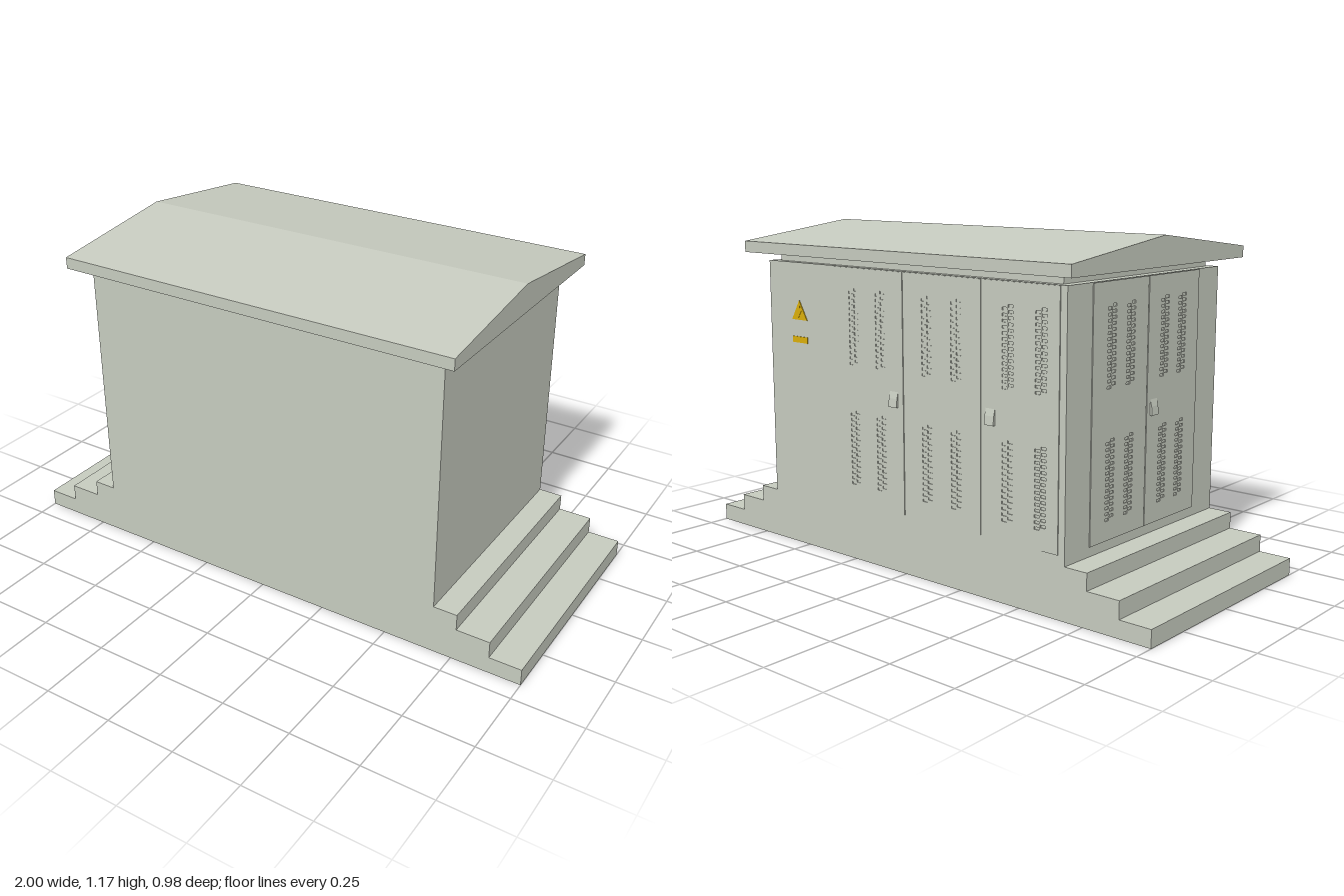
import * as THREE from 'three';

const paint = new THREE.MeshStandardMaterial({ color: 0xc5cabe, flatShading: true });
const yellow = new THREE.MeshStandardMaterial({ color: 0xd9ad0a, flatShading: true });
const PANEL = 0.003; // door leaf thickness

function add(parent, name, geometry, material = paint) {
  const mesh = new THREE.Mesh(geometry, material);
  mesh.name = name;
  parent.add(mesh);
  return mesh;
}

function polygon(points) {
  return new THREE.Shape(points.map(([x, y]) => new THREE.Vector2(x, y)));
}

function extrude(shape, depth) {
  return new THREE.ExtrudeGeometry(shape, { depth, bevelEnabled: false });
}

function box(parent, name, w, y0, y1, d) {
  add(parent, name, new THREE.BoxGeometry(w, y1 - y0, d)).position.y = (y0 + y1) / 2;
}

// Closed rectangle as a path for slots
function slot(x, y, w, h) {
  return new THREE.Path([[0, 0], [0, h], [w, h], [w, 0]].map(([a, b]) => new THREE.Vector2(x + a, y + b)));
}

// Door leaf, facing +z, with staggered vent slots in two stacked banks per column
function doorLeaf(parent, x0, x1, ventColumns) {
  const leaf = polygon([[x0, 0.21], [x1, 0.21], [x1, 1.038], [x0, 1.038]]);
  const rows = 14, pitch = 0.019;
  for (const cx of ventColumns) {
    for (const bottom of [0.275, 0.702]) {
      for (let i = 0; i < rows; i++) {
        const y = bottom + i * pitch;
        leaf.holes.push(slot(cx - 0.022, y, 0.02, 0.009));
        leaf.holes.push(slot(cx + 0.002, y + pitch / 2, 0.02, 0.009));
      }
    }
  }
  add(parent, 'ventedDoor', extrude(leaf, PANEL));
}

// Wedge-shaped pull handle
function handle(parent, x) {
  const profile = polygon([[0, 0.58], [0.01, 0.58], [0.007, 0.61], [0, 0.637]]);
  const geometry = extrude(profile, 0.038);
  geometry.rotateY(-Math.PI / 2); // profile depth now runs along z
  add(parent, 'doorHandle', geometry).position.set(x + 0.019, 0, PANEL - 0.001);
}

export function createModel() {
  const model = new THREE.Group();
  model.name = 'substationKiosk';

  // Base slab, steps at both ends and wall block in one stepped silhouette
  const half = [[1, 0], [1, 0.06], [0.885, 0.06], [0.885, 0.12], [0.765, 0.12], [0.765, 0.178], [0.68, 0.178], [0.68, 1.04]];
  const mirrored = half.map(([x, y]) => [-x, y]).reverse();
  const body = extrude(polygon([...half, ...mirrored]), 0.852);
  body.translate(0, 0, -0.426);
  add(model, 'bodyWithSteps', body);

  // Recessed neck below the roof
  box(model, 'roofNeck', 1.29, 1.04, 1.07, 0.8);

  // Shallow gable roof, ridge along x
  const roof = extrude(polygon([[-0.488, 1.07], [0.488, 1.07], [0.488, 1.11], [0, 1.17], [-0.488, 1.11]]), 1.48);
  roof.translate(0, 0, -0.74);
  roof.rotateY(Math.PI / 2);
  add(model, 'gableRoof', roof);

  // Back wall fittings, built facing +z then turned round (local x is mirrored)
  const back = new THREE.Group();
  back.name = 'backFittings';
  back.rotation.y = Math.PI;
  back.position.z = -0.426;
  doorLeaf(back, -0.348, -0.002, [-0.237, -0.108]);
  doorLeaf(back, 0.002, 0.342, [0.108, 0.237]);
  doorLeaf(back, 0.35, 0.655, [0.453, 0.585]);
  handle(back, -0.045);
  handle(back, 0.383);

  // Warning triangle with a raised bolt, and a plain plate below it
  const triangle = polygon([[-0.04, 0.835], [0.04, 0.835], [0, 0.905]]);
  const bolt = polygon([[0.004, 0.885], [-0.012, 0.863], [-0.001, 0.863], [-0.004, 0.843], [0.011, 0.867], [0.001, 0.867]]);
  add(back, 'warningTriangle', extrude(triangle, PANEL), yellow).position.x = -0.52;
  add(back, 'warningBolt', extrude(bolt, PANEL + 0.001), yellow).position.x = -0.52;
  const plate = add(back, 'warningPlate', new THREE.BoxGeometry(0.08, 0.022, 0.006), yellow);
  plate.position.set(-0.52, 0.763, 0);
  model.add(back);

  // Double door on the right end wall
  const side = new THREE.Group();
  side.name = 'sideDoors';
  side.rotation.y = -Math.PI / 2;
  side.position.x = -0.68;
  doorLeaf(side, -0.3, -0.002, [-0.2, -0.097]);
  doorLeaf(side, 0.002, 0.3, [0.097, 0.2]);
  handle(side, 0.04);
  model.add(side);

  return model;
}
